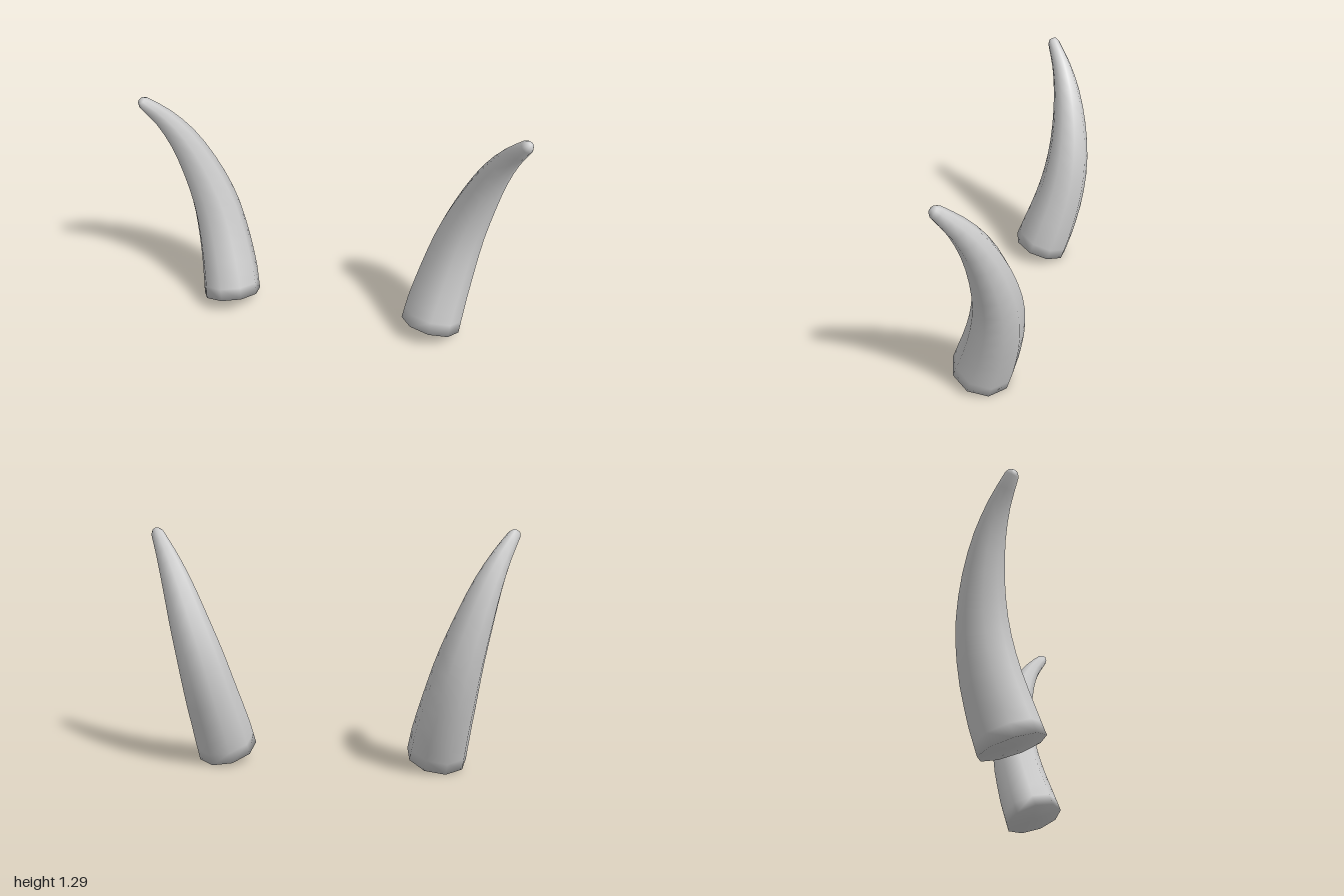
import * as THREE from 'three';

const SIDES = 9, RINGS = 15;

// Centre line of the left horn (x, y, z), base to tip, and its radius at each point
const path = [
  [0.585, 0.064, 0.05], [0.605, 0.2, 0.006], [0.645, 0.4, -0.047], [0.69, 0.6, -0.075],
  [0.75, 0.8, -0.07], [0.82, 1.0, -0.035], [0.89, 1.15, 0.02], [0.96, 1.265, 0.088],
].map(p => new THREE.Vector3(...p));
const radii = [0.165, 0.16, 0.145, 0.128, 0.106, 0.08, 0.055, 0.034];

function radiusAt(t) {
  const f = t * (radii.length - 1), i = Math.min(Math.floor(f), radii.length - 2);
  return THREE.MathUtils.lerp(radii[i], radii[i + 1], f - i);
}

// Horn swept from rings along the curve; side is 1 for left, -1 for right
function hornGeometry(side) {
  const curve = new THREE.CatmullRomCurve3(path);
  const positions = [], indices = [];
  const add = p => positions.push(p.x * side, p.y, p.z);
  const face = (a, b, c) => (side > 0 ? indices.push(a, b, c) : indices.push(a, c, b));

  const ring = (centre, tangent, r) => {
    const u = new THREE.Vector3(0, 0, 1).addScaledVector(tangent, -tangent.z).normalize();
    const w = new THREE.Vector3().crossVectors(tangent, u);
    for (let j = 0; j < SIDES; j++) {
      const a = (j / SIDES) * Math.PI * 2;
      add(centre.clone().addScaledVector(u, r * Math.cos(a)).addScaledVector(w, r * Math.sin(a)));
    }
  };

  for (let i = 0; i <= RINGS; i++) {
    const t = i / RINGS;
    ring(curve.getPoint(t), curve.getTangent(t), radiusAt(t));
  }
  // Small rounded tip
  const tip = curve.getPoint(1), dir = curve.getTangent(1);
  ring(tip.clone().addScaledVector(dir, 0.02), dir, 0.022);
  const last = RINGS + 1;

  for (let i = 0; i < last; i++) {
    for (let j = 0; j < SIDES; j++) {
      const k = (j + 1) % SIDES;
      const a = i * SIDES + j, b = i * SIDES + k;
      face(a, b, b + SIDES);
      face(a, b + SIDES, a + SIDES);
    }
  }
  // End caps share their rims so the ends shade softly
  const baseCentre = positions.length / 3;
  add(path[0]);
  add(tip.clone().addScaledVector(dir, 0.027));
  for (let j = 0; j < SIDES; j++) {
    const k = (j + 1) % SIDES;
    face(baseCentre, k, j);
    face(baseCentre + 1, last * SIDES + j, last * SIDES + k);
  }

  const geometry = new THREE.BufferGeometry();
  geometry.setAttribute('position', new THREE.Float32BufferAttribute(positions, 3));
  geometry.setIndex(indices);
  geometry.computeVertexNormals();
  return geometry;
}

export function createModel() {
  const group = new THREE.Group();
  group.name = 'horns';
  const grey = new THREE.MeshStandardMaterial({ color: 0xcccccc });
  grey.name = 'light grey';
  for (const side of [1, -1]) {
    const horn = new THREE.Mesh(hornGeometry(side), grey);
    horn.name = side > 0 ? 'leftHorn' : 'rightHorn';
    group.add(horn);
  }
  return group;
}
